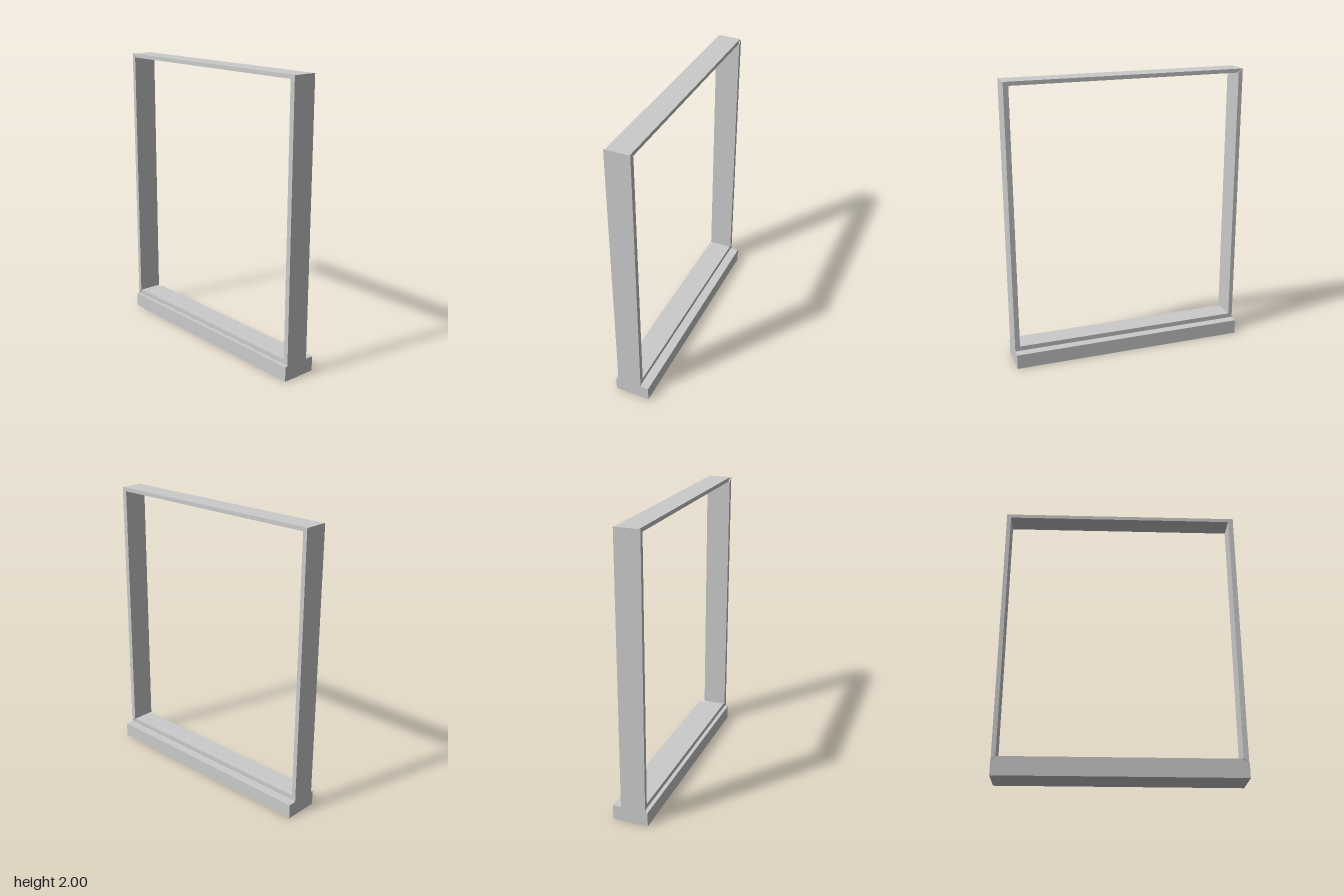
import * as THREE from 'three';

export function createModel() {
  const group = new THREE.Group();
  const material = new THREE.MeshStandardMaterial({ color: 0xcccccc, flatShading: true });

  // Outer and inner rectangles of the frame
  const out = { l: -0.842, r: 0.84, b: 0.104, t: 2 };
  const inn = { l: -0.812, r: 0.805, b: 0.137, t: 1.973 };

  // Extrudes a mitred bar between two depths
  function addBar(name, corners, zBack, zFront) {
    const shape = new THREE.Shape(corners.map(([x, y]) => new THREE.Vector2(x, y)));
    const geometry = new THREE.ExtrudeGeometry(shape, { depth: zFront - zBack, bevelEnabled: false });
    geometry.translate(0, 0, zBack);
    const mesh = new THREE.Mesh(geometry, material);
    mesh.name = name;
    group.add(mesh);
  }

  // Head and bottom rail, set slightly behind the faces of the jambs
  addBar('headRail', [[inn.l, inn.t], [inn.r, inn.t], [out.r, out.t], [out.l, out.t]], -0.061, 0.098);
  addBar('bottomRail', [[out.l, out.b], [out.r, out.b], [inn.r, inn.b], [inn.l, inn.b]], -0.061, 0.098);

  // Jambs with mitred ends
  addBar('rightJamb', [[out.l, out.b], [inn.l, inn.b], [inn.l, inn.t], [out.l, out.t]], -0.067, 0.107);
  addBar('leftJamb', [[out.r, out.b], [out.r, out.t], [inn.r, inn.t], [inn.r, inn.b]], -0.067, 0.107);

  // Wide sill under the frame
  const sill = new THREE.Mesh(new THREE.BoxGeometry(out.r - out.l, out.b, 0.25), material);
  sill.position.set((out.l + out.r) / 2, out.b / 2, 0);
  sill.name = 'sill';
  group.add(sill);

  return group;
}
